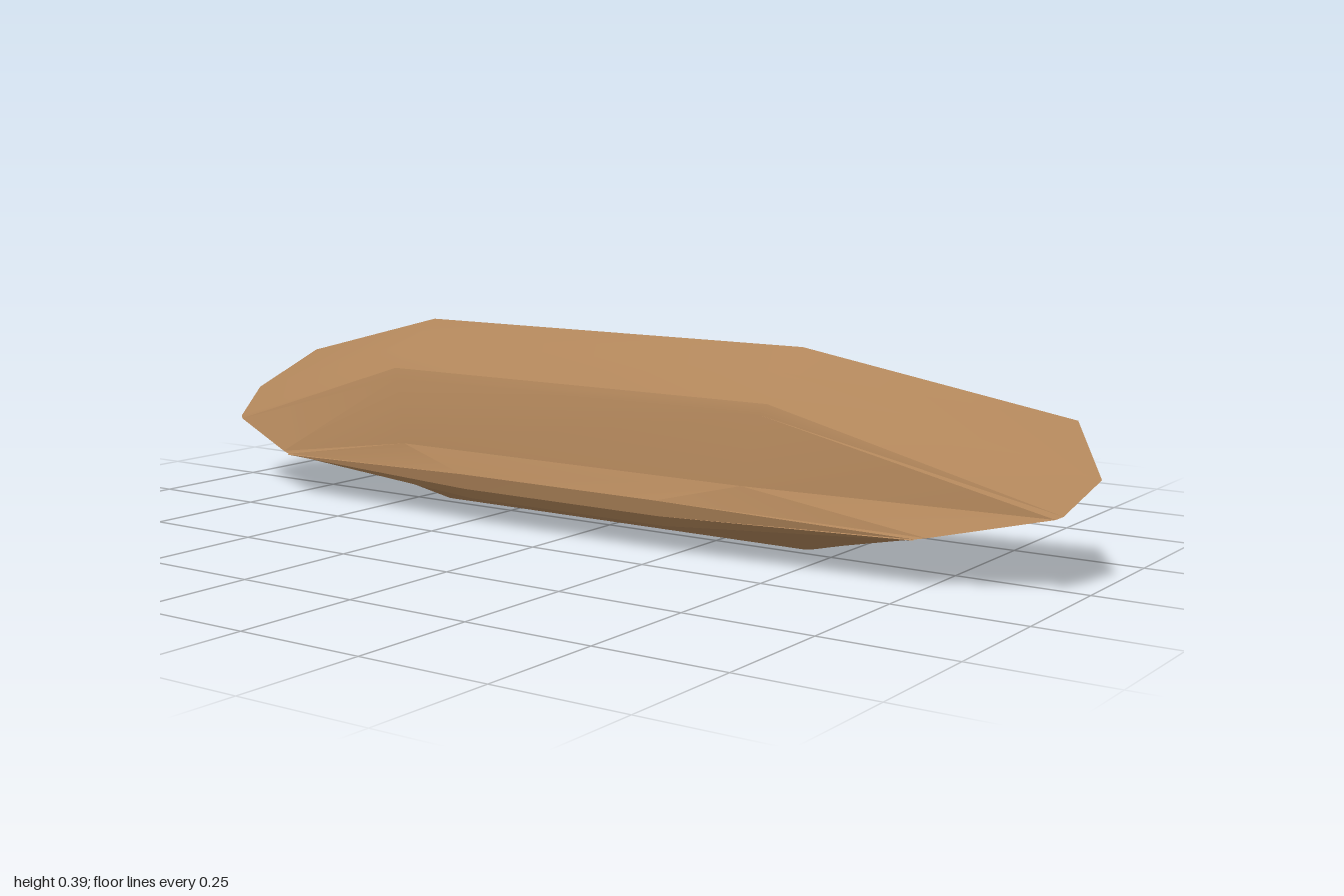
import * as THREE from 'three';
import { toCreasedNormals } from 'three/addons/utils/BufferGeometryUtils.js';

// Closed loop seen from above: half width, height and z amidships, then the same at the tips
function ring([w, h, z, tw, th, tz]) {
  return [
    [tw, th, -tz], [w, h, -z], [w, h, z], [tw, th, tz],
    [-tw, th, tz], [-w, h, z], [-w, h, -z], [-tw, th, -tz],
  ].map((p) => new THREE.Vector3(...p));
}

// Skin a stack of loops, leaving out collapsed triangles
function skin(profile) {
  const rings = profile.map(ring);
  const pos = [];
  const tri = (a, b, c) => {
    if (new THREE.Triangle(a, b, c).getArea() > 1e-6) {
      for (const p of [a, b, c]) pos.push(p.x, p.y, p.z);
    }
  };
  for (let j = 0; j < rings.length - 1; j++) {
    const lo = rings[j], hi = rings[j + 1];
    for (let i = 0; i < lo.length; i++) {
      const k = (i + 1) % lo.length;
      tri(lo[i], hi[i], lo[k]);
      tri(hi[i], hi[k], lo[k]);
    }
  }
  const geo = new THREE.BufferGeometry();
  geo.setAttribute('position', new THREE.Float32BufferAttribute(pos, 3));
  return toCreasedNormals(geo, 0.4);
}

export function createModel() {
  const model = new THREE.Group();
  const boat = new THREE.Group();
  boat.name = 'boat';
  model.add(boat);

  const wood = new THREE.MeshStandardMaterial({ color: 0xb0855a, side: THREE.DoubleSide });
  const darkWood = new THREE.MeshStandardMaterial({ color: 0x5c4630 });

  // Hull: from the keel up the outside, over the rim and down to the floor
  const hull = new THREE.Mesh(skin([
    [0, -0.108, 0.23, 0, -0.08, 0.74],       // keel centre
    [0.031, -0.10, 0.23, 0, -0.077, 0.74],   // keel edge
    [0.055, -0.058, 0.40, 0, -0.07, 0.76],   // keel root
    [0.159, 0.02, 0.43, 0, 0.015, 0.96],     // chine, lower
    [0.172, 0.037, 0.44, 0, 0.025, 0.97],    // chine, upper
    [0.187, 0.11, 0.44, 0, 0.127, 1.0],      // side and tip
    [0.186, 0.19, 0.44, 0.021, 0.252, 0.915], // outer rim
    [0.157, 0.19, 0.455, 0.005, 0.243, 0.87], // inner rim
    [0.14, 0.03, 0.48, 0, 0.03, 0.6],        // floor edge
    [0, 0.03, 0.48, 0, 0.03, 0.6],           // floor centre
  ]), wood);
  hull.name = 'hull';
  boat.add(hull);

  // Two planks to sit on
  for (const side of [1, -1]) {
    const seat = new THREE.Mesh(new THREE.BoxGeometry(0.304, 0.022, 0.106), darkWood);
    seat.name = side > 0 ? 'frontSeat' : 'backSeat';
    seat.position.set(0, 0.079, side * 0.314);
    boat.add(seat);
  }

  // The boat lies tipped on its side
  boat.rotation.z = -1.035;
  boat.position.set(-0.079, 0.133, 0);
  return model;
}
